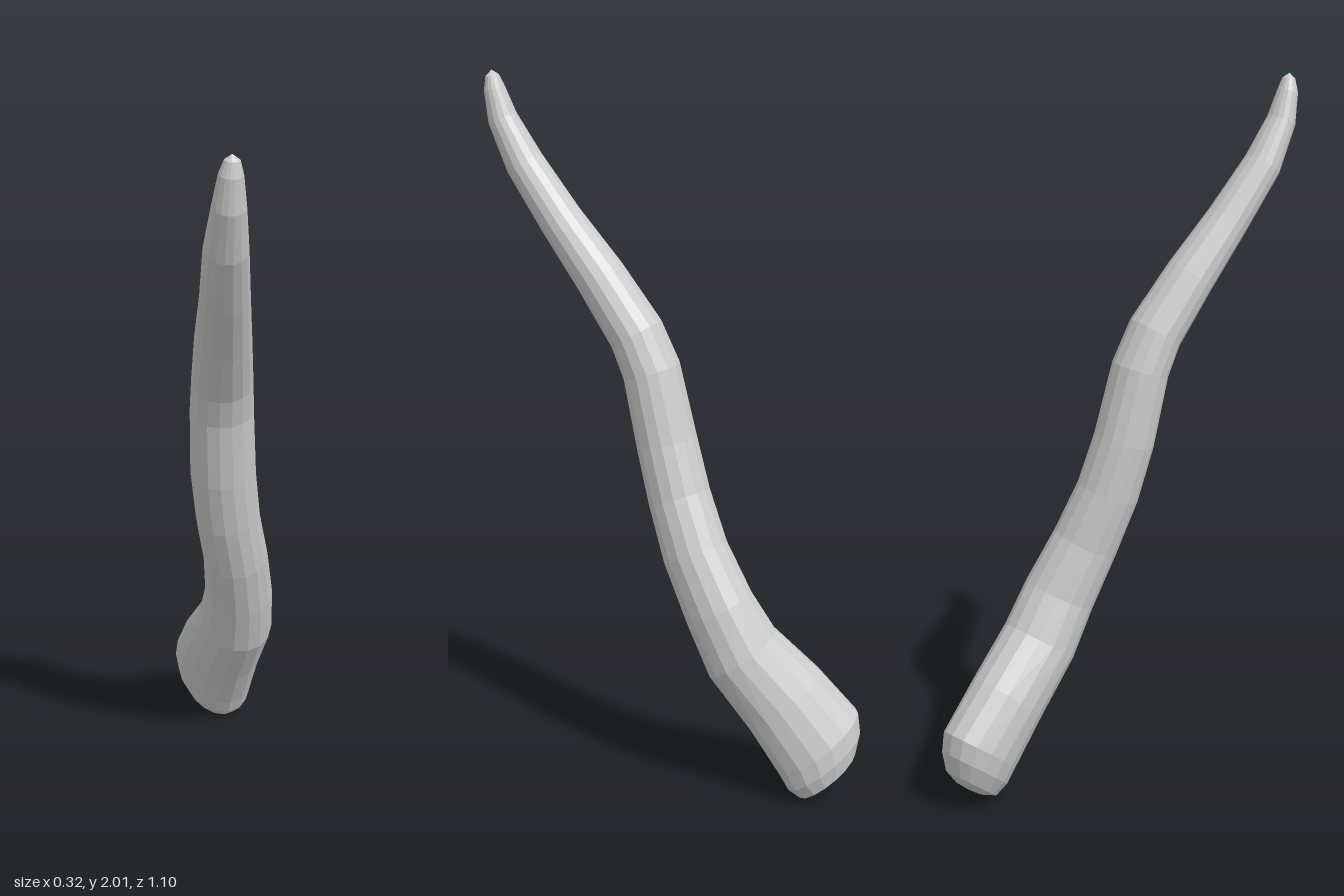
import * as THREE from 'three';

const SIDES = 16;

// Cross-sections from the blunt base to the tip:
// [centre x, y, z, radius across, radius front to back, diagonal stretch]
const SECTIONS = [
  [-0.049, 0.035, -0.474, 0, 0, 0],
  [-0.048, 0.038, -0.473, 0.045, 0.045, 0.007],
  [-0.045, 0.052, -0.465, 0.09, 0.09, 0.014],
  [-0.043, 0.098, -0.453, 0.115, 0.117, 0.018],
  [-0.04, 0.15, -0.436, 0.124, 0.128, 0.019],
  [-0.005, 0.28, -0.343, 0.12, 0.12, 0.012],
  [0.045, 0.42, -0.232, 0.112, 0.112, 0.004],
  [0.06, 0.55, -0.165, 0.1, 0.104, 0],
  [0.056, 0.7, -0.087, 0.094, 0.095, 0],
  [0.038, 0.85, -0.025, 0.092, 0.089, 0],
  [0.028, 1.0, 0.02, 0.092, 0.085, 0],
  [0.028, 1.2, 0.068, 0.088, 0.08, 0],
  [0.033, 1.3, 0.113, 0.084, 0.077, 0],
  [0.044, 1.45, 0.22, 0.076, 0.07, 0],
  [0.058, 1.6, 0.337, 0.065, 0.06, 0],
  [0.069, 1.75, 0.445, 0.057, 0.053, 0],
  [0.081, 1.87, 0.506, 0.043, 0.041, 0],
  [0.087, 1.95, 0.526, 0.031, 0.029, 0],
  [0.09, 1.985, 0.53, 0.02, 0.018, 0],
  [0.09, 2.0, 0.532, 0, 0, 0],
];

// The rounded base cap keeps one tilt for all of its rings
const CAP_RINGS = 5;
const CAP_AXIS = new THREE.Vector3(0.25, 0.8, 0.55).normalize();

// Skin elliptical rings set square to the centre line
function sweep(sections) {
  const centres = sections.map((s) => new THREE.Vector3(s[0], s[1], s[2]));
  const last = sections.length - 1;
  const positions = [];
  const index = [];
  sections.forEach(([, , , across, deep, stretch], i) => {
    const tangent = i < CAP_RINGS ? CAP_AXIS : centres[Math.min(i + 1, last)].clone()
      .sub(centres[i - 1]).normalize();
    const side = new THREE.Vector3(1, 0, 0).projectOnPlane(tangent).normalize();
    const front = side.clone().cross(tangent);
    for (let j = 0; j < SIDES; j++) {
      const angle = (j / SIDES) * Math.PI * 2;
      const c = Math.cos(angle);
      const s = Math.sin(angle);
      const p = centres[i].clone()
        .addScaledVector(side, across * c + stretch * s)
        .addScaledVector(front, deep * s + stretch * c);
      positions.push(p.x, p.y, p.z);
    }
  });
  for (let i = 0; i < last; i++) {
    for (let j = 0; j < SIDES; j++) {
      const a = i * SIDES + j;
      const b = i * SIDES + ((j + 1) % SIDES);
      const c = a + SIDES;
      const d = b + SIDES;
      // the end sections shrink to points, so they need one triangle only
      if (i > 0) index.push(a, c, b);
      if (i < last - 1) index.push(b, c, d);
    }
  }
  const geometry = new THREE.BufferGeometry();
  geometry.setAttribute('position', new THREE.Float32BufferAttribute(positions, 3));
  geometry.setIndex(index);
  geometry.computeVertexNormals();
  return geometry;
}

export function createModel() {
  const group = new THREE.Group();
  group.name = 'wavyHorn';

  // Tapering, wavy body with a blunt base and a rounded tip
  const material = new THREE.MeshStandardMaterial({ color: 0xcccccc, flatShading: true });
  const horn = new THREE.Mesh(sweep(SECTIONS), material);
  horn.name = 'horn';
  group.add(horn);

  return group;
}
